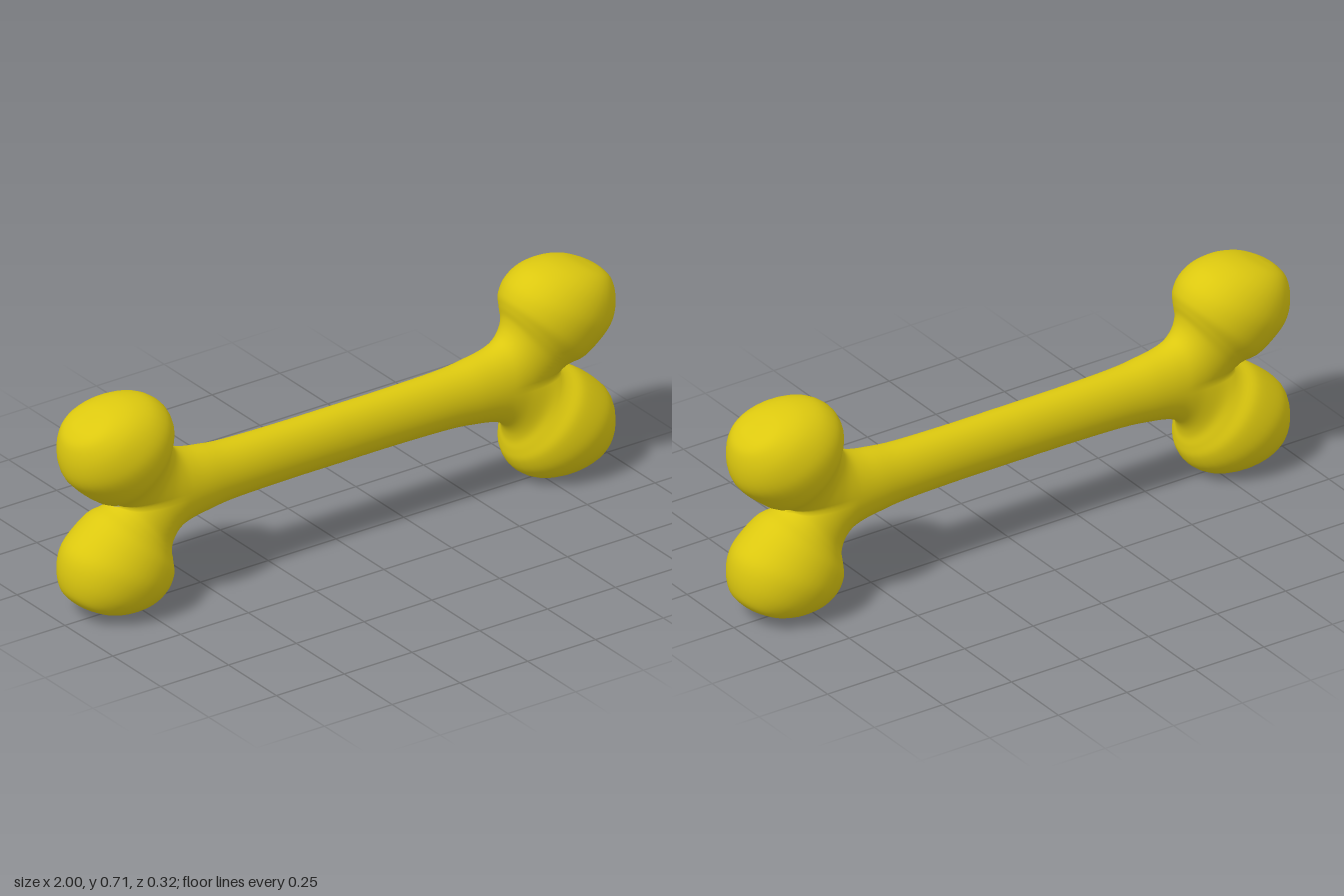
import * as THREE from 'three';
import { mergeVertices } from 'three/addons/utils/BufferGeometryUtils.js';

const MID = 0.355; // height of the bone's long axis

// Cross-sections of the upper right quarter, from mid shaft out to the knob tip:
// [inner/top x, y, outer/bottom x, y, half depth], y measured from the axis
const SECTIONS = [
  [0, 0.092, 0, -0.092, 0.07],
  [0.2, 0.092, 0.2, -0.092, 0.071],
  [0.4, 0.096, 0.4, -0.096, 0.076],
  [0.5, 0.107, 0.5, -0.107, 0.082],
  [0.56, 0.118, 0.565, -0.118, 0.086],
  [0.602, 0.136, 0.62, -0.125, 0.089],
  [0.625, 0.165, 0.7, -0.09, 0.091],
  [0.634, 0.2, 0.775, -0.035, 0.099],
  [0.632, 0.235, 0.82, 0.005, 0.12],
  [0.636, 0.27, 0.88, 0.028, 0.149],
  [0.66, 0.31, 0.95, 0.085, 0.161],
  [0.71, 0.343, 0.985, 0.13, 0.153],
  [0.78, 0.354, 0.998, 0.19, 0.13],
  [0.85, 0.345, 0.992, 0.25, 0.092],
  [0.91, 0.322, 0.967, 0.287, 0.045],
  [0.94, 0.306, 0.94, 0.306, 0],
];

const spline = (pts) => new THREE.CatmullRomCurve3(pts, false, 'catmullrom', 0.5);

// Loft the sections; each ring is cut open where it meets the mid plane
function quarterRings(rows, cols) {
  const top = spline(SECTIONS.map((s) => new THREE.Vector3(s[0], s[1], s[4])));
  const bottom = spline(SECTIONS.map((s) => new THREE.Vector3(s[2], s[3], 0)));
  const points = [];
  for (let j = 0; j <= rows; j++) {
    const a = top.getPoint(j / rows), b = bottom.getPoint(j / rows);
    const cx = (a.x + b.x) / 2, cy = (a.y + b.y) / 2;
    const ux = (a.x - b.x) / 2, uy = (a.y - b.y) / 2;
    const cut = uy > 1e-6 ? Math.asin(Math.min(1, Math.max(0, cy / uy))) : Math.PI / 2;
    for (let i = 0; i <= cols; i++) {
      const angle = -cut + (Math.PI + 2 * cut) * (i / cols);
      const s = Math.sin(angle);
      points.push([cx + ux * s, Math.max(0, cy + uy * s), a.z * Math.cos(angle)]);
    }
  }
  return points;
}

// Mirror the quarter to all four corners and weld it into one smooth skin
function boneGeometry() {
  const rows = 75, cols = 36, ring = cols + 1;
  const points = quarterRings(rows, cols);
  const positions = [], index = [];
  for (const sx of [1, -1]) {
    for (const sy of [1, -1]) {
      const base = positions.length / 3;
      for (const [x, y, z] of points) positions.push(sx * x, MID + sy * y, z);
      for (let j = 0; j < rows; j++) {
        for (let i = 0; i < cols; i++) {
          const a = base + j * ring + i, b = a + ring, c = a + 1, d = b + 1;
          if (sx * sy > 0) index.push(a, b, c, b, d, c);
          else index.push(a, c, b, b, c, d);
        }
      }
    }
  }
  const geometry = new THREE.BufferGeometry();
  geometry.setAttribute('position', new THREE.Float32BufferAttribute(positions, 3));
  geometry.setIndex(index);
  const welded = mergeVertices(geometry, 1e-4);
  welded.computeVertexNormals();
  return welded;
}

export function createModel() {
  const group = new THREE.Group();
  group.name = 'bone';
  const material = new THREE.MeshStandardMaterial({ color: 0xdcc80f });
  const bone = new THREE.Mesh(boneGeometry(), material);
  bone.name = 'shaftAndKnobs';
  group.add(bone);
  return group;
}
